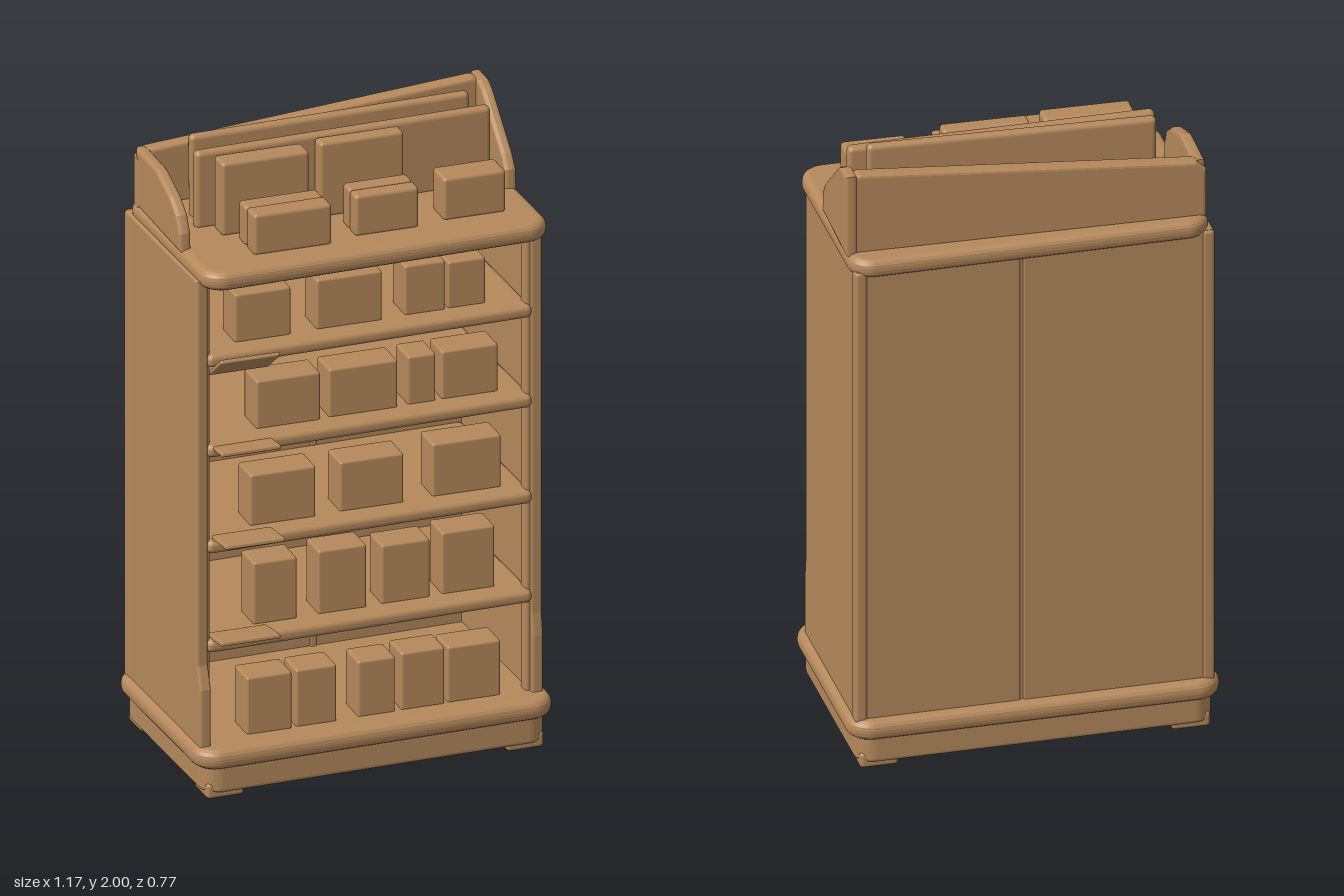
import * as THREE from 'three';
import { RoundedBoxGeometry } from 'three/addons/geometries/RoundedBoxGeometry.js';

export function createModel() {
  const wood = new THREE.MeshStandardMaterial({ color: 0xb5895c });
  wood.name = 'tan wood';
  const model = new THREE.Group();
  model.name = 'shelfCabinet';
  // The cabinet carcass stands slightly turned on its footprint
  const cabinet = new THREE.Group();
  cabinet.name = 'cabinet';
  cabinet.position.z = -0.02;
  cabinet.rotation.y = 0.027;
  model.add(cabinet);

  function add(parent, name, geometry) {
    const mesh = new THREE.Mesh(geometry, wood);
    mesh.name = name;
    parent.add(mesh);
    return mesh;
  }

  // Rounded box given by its limits on each axis
  function box(parent, name, x0, x1, y0, y1, z0, z1, r = 0.01) {
    const mesh = add(parent, name, new RoundedBoxGeometry(x1 - x0, y1 - y0, z1 - z0, 2, r));
    mesh.position.set((x0 + x1) / 2, (y0 + y1) / 2, (z0 + z1) / 2);
    return mesh;
  }

  function roundRect(path, w, d, r) {
    const x = w / 2, y = d / 2;
    path.moveTo(-x + r, -y);
    path.lineTo(x - r, -y);
    path.absarc(x - r, -y + r, r, -Math.PI / 2, 0);
    path.lineTo(x, y - r);
    path.absarc(x - r, y - r, r, 0, Math.PI / 2);
    path.lineTo(-x + r, y);
    path.absarc(-x + r, y - r, r, Math.PI / 2, Math.PI);
    path.lineTo(-x, -y + r);
    path.absarc(-x + r, -y + r, r, Math.PI, Math.PI * 1.5);
    return path;
  }

  // Horizontal slab with rounded corners and a soft edge
  function slab(name, w, d, y0, y1, bevel, hole) {
    const shape = roundRect(new THREE.Shape(), w - 2 * bevel, d - 2 * bevel, 0.05);
    if (hole) shape.holes.push(roundRect(new THREE.Path(), w - hole, d - hole, 0.03));
    const geometry = new THREE.ExtrudeGeometry(shape, {
      depth: y1 - y0 - 2 * bevel, bevelThickness: bevel, bevelSize: bevel, bevelSegments: 4, curveSegments: 6,
    });
    geometry.rotateX(-Math.PI / 2);
    return Object.assign(add(cabinet, name, geometry)).translateY(y0 + bevel);
  }

  // Upright panel from a (z, y) outline, spanning x0 to x1
  function sidePanel(parent, name, points, x0, x1, bevel) {
    const shape = new THREE.Shape(points.map(([z, y]) => new THREE.Vector2(-z, y)));
    const geometry = new THREE.ExtrudeGeometry(shape, {
      depth: x1 - x0 - 2 * bevel, bevelThickness: bevel, bevelSize: bevel, bevelOffset: -bevel, bevelSegments: 3,
    });
    geometry.rotateY(Math.PI / 2);
    return add(parent, name, geometry).translateX(x0 + bevel);
  }

  // Base: hollow plinth, floor, feet and moulded lip
  slab('plinth', 1.11, 0.67, 0.02, 0.11, 0.012, 0.08);
  box(cabinet, 'plinthFloor', -0.53, 0.53, 0.03, 0.1, -0.31, 0.31, 0.005);
  for (const x of [-0.485, 0.485])
    for (const z of [-0.27, 0.27])
      box(cabinet, 'foot', x - 0.06, x + 0.06, 0, 0.05, z - 0.055, z + 0.055, 0.012);
  slab('baseLip', 1.16, 0.71, 0.1, 0.165, 0.028);

  // Side panels, flared at the bottom front
  for (const side of [-1, 1]) {
    const x = side * 0.54, flare = side < 0 ? 0.3 : 0.285;
    sidePanel(cabinet, 'sidePanel', [
      [-0.315, 0.15], [flare, 0.15], [flare, 0.35], [0.275, 0.42], [0.275, 1.68], [-0.315, 1.68],
    ], x - 0.018, x + 0.018, 0.008);
    box(cabinet, 'backPost', x - 0.02, x + 0.02, 0.15, 1.68, -0.322, -0.27, 0.012);
    box(cabinet, 'frontPost', x - 0.02 - side * 0.012, x + 0.016 - side * 0.012, 0.15, 1.68, 0.22, 0.265, 0.01);
  }

  // Two back panels meeting at a narrow seam
  box(cabinet, 'backPanel', -0.53, 0.035, 0.15, 1.68, -0.318, -0.288, 0.006);
  box(cabinet, 'backPanel', 0.045, 0.53, 0.15, 1.68, -0.318, -0.288, 0.006);
  box(cabinet, 'backSeam', 0.03, 0.05, 0.15, 1.68, -0.312, -0.282, 0.005);

  // Shelves
  for (const y of [0.5, 0.825, 1.14, 1.435])
    box(cabinet, 'shelf', -0.525, 0.525, y - 0.042, y, -0.295, 0.285, 0.018);

  // Top slab
  slab('topSlab', 1.12, 0.67, 1.66, 1.72, 0.025).translateX(0.01);

  // Hood: sloping back board and two curved wings
  const hood = new THREE.Shape([[-0.55, 1.71], [0.56, 1.71], [0.56, 1.97], [0.52, 1.98], [-0.52, 1.9], [-0.55, 1.87]]
    .map(([x, y]) => new THREE.Vector2(x, y)));
  add(model, 'hoodBack', new THREE.ExtrudeGeometry(hood, {
    depth: 0.026, bevelThickness: 0.012, bevelSize: 0.012, bevelOffset: -0.012, bevelSegments: 3,
  })).translateZ(-0.283);
  sidePanel(model, 'hoodWing', [
    [-0.28, 1.71], [0.11, 1.71], [0.105, 1.77], [0.08, 1.82], [0.02, 1.86], [-0.1, 1.9], [-0.28, 1.9],
  ], -0.548, -0.51, 0.012);
  sidePanel(model, 'hoodWing', [
    [-0.3, 1.71], [0.015, 1.71], [0.01, 1.78], [-0.02, 1.82], [-0.19, 1.96], [-0.23, 1.98], [-0.3, 1.98],
  ], 0.53, 0.567, 0.012);

  // Display boards standing on the top
  box(model, 'displayBoard', -0.43, 0.465, 1.71, 1.99, -0.148, -0.112, 0.016).rotation.z = 0.012;
  box(model, 'displayBoard', -0.445, 0.51, 1.71, 1.965, -0.08, -0.042, 0.016).rotation.y = 0.025;

  // Boxes on the top: x0, x1, top, z0, z1
  for (const [x0, x1, top, z0, z1] of [
    [-0.39, -0.11, 1.955, -0.025, 0.05], [-0.065, 0.205, 1.96, -0.035, 0.018],
    [-0.35, -0.1, 1.845, 0.08, 0.14], [-0.35, -0.1, 1.85, 0.15, 0.22],
    [-0.015, 0.19, 1.85, 0.075, 0.13], [-0.015, 0.19, 1.85, 0.135, 0.19],
    [0.275, 0.475, 1.855, 0.07, 0.17],
  ]) box(model, 'topBox', x0, x1, 1.715, top, z0, z1, 0.012);

  // Boxes on the shelves: floor height, front z, then x0, x1, top of each
  for (const [y, z, boxes] of [
    [0.16, 0.24, [[-0.385, -0.24, 0.35], [-0.225, -0.095, 0.35], [-0.025, 0.095, 0.345], [0.115, 0.255, 0.35], [0.265, 0.435, 0.345]]],
    [0.495, 0.19, [[-0.345, -0.205, 0.7], [-0.135, 0.02, 0.705], [0.07, 0.225, 0.69], [0.265, 0.435, 0.7]]],
    [0.82, 0.19, [[-0.355, -0.145, 0.99], [-0.065, 0.14, 0.985], [0.235, 0.455, 0.995]]],
    [1.135, 0.19, [[-0.335, -0.13, 1.295], [-0.1, 0.12, 1.295], [0.155, 0.245, 1.295], [0.265, 0.445, 1.295]]],
    [1.43, 0.19, [[-0.405, -0.225, 1.59], [-0.14, 0.07, 1.595], [0.145, 0.275, 1.595], [0.285, 0.405, 1.585]]],
  ]) for (const [x0, x1, top] of boxes) {
    const front = z - x0 * 0.03;
    box(model, 'shelfBox', x0, x1, y, top, front - 0.11, front, 0.008);
  }

  // Thin flaps on the left end of the shelf edges: y, front z, tilt
  for (const [y, z, tilt] of [[0.505, 0.345, -0.15], [0.84, 0.385, -0.12], [1.13, 0.35, -0.12], [1.4, 0.35, -0.65]]) {
    const flap = box(model, 'shelfFlap', -0.5, -0.31, y - 0.007, y + 0.007, z - 0.13, z, 0.005);
    flap.rotation.x = tilt;
  }
  return model;
}
